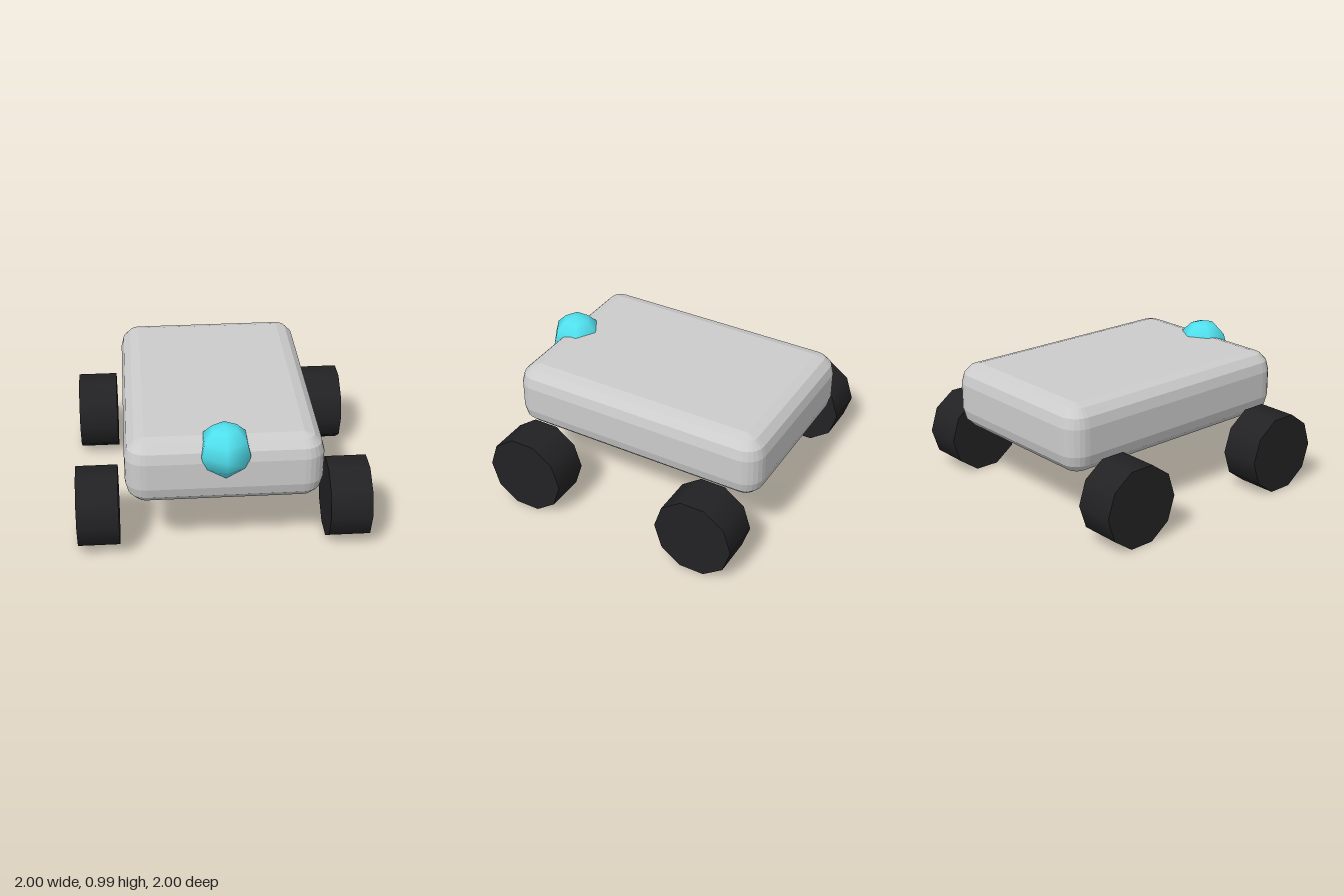
import * as THREE from 'three';

const grey = new THREE.MeshStandardMaterial({ color: 0xcccccc });
const black = new THREE.MeshStandardMaterial({ color: 0x222224 });
const cyan = new THREE.MeshStandardMaterial({ color: 0x50e0ee });

function part(name, geometry, material, x, y, z) {
  const mesh = new THREE.Mesh(geometry, material);
  mesh.name = name;
  mesh.position.set(x, y, z);
  return mesh;
}

// Box with every edge rounded in three flat steps, centred on its origin
function roundedSlab(width, height, depth, radius) {
  const w = width / 2, d = depth / 2, q = Math.PI / 2;
  const outline = new THREE.Shape();
  outline.absarc(w - radius, d - radius, radius, 0, q);
  outline.absarc(radius - w, d - radius, radius, q, 2 * q);
  outline.absarc(radius - w, radius - d, radius, 2 * q, 3 * q);
  outline.absarc(w - radius, radius - d, radius, 3 * q, 4 * q);
  const bevel = radius * 0.96; // just short of the radius, so the corners never cross over
  const geometry = new THREE.ExtrudeGeometry(outline, {
    depth: height - 2 * radius,
    curveSegments: 3,
    bevelSegments: 3,
    bevelThickness: radius,
    bevelSize: bevel,
    bevelOffset: -bevel,
  });
  geometry.rotateX(-Math.PI / 2);
  geometry.center();
  return geometry;
}

export function createModel() {
  const model = new THREE.Group();
  model.name = 'buggy';

  // Body
  model.add(part('body', roundedSlab(1.33, 0.47, 1.9, 0.14), grey, 0, 0.657, -0.05));

  // Lamp set into the top front edge, a hexagonal ball with a corner facing forward
  const ball = new THREE.SphereGeometry(0.187, 6, 6).rotateY(Math.PI / 2);
  model.add(part('lamp', ball, cyan, 0, 0.8, 0.81));

  // Four ten-sided wheels
  const tyre = new THREE.CylinderGeometry(0.285, 0.285, 0.285, 10).rotateZ(Math.PI / 2);
  for (const [end, z] of [['front', 0.617], ['back', -0.715]]) {
    for (const [side, s] of [['Left', 1], ['Right', -1]]) {
      model.add(part(`${end}${side}Wheel`, tyre, black, s * 0.8575, 0.271, z));
    }
  }
  return model;
}
